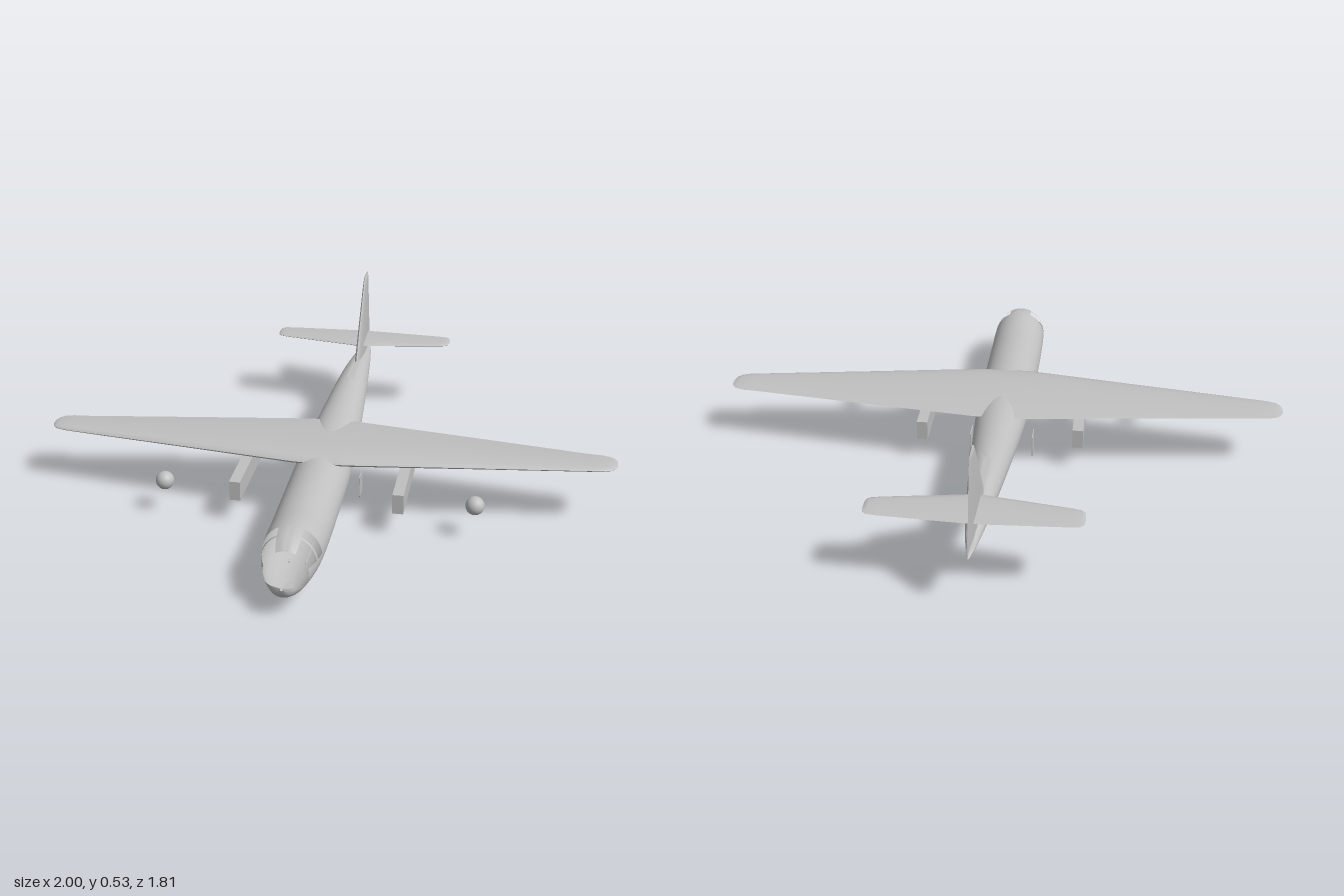
import * as THREE from 'three';
import { mergeGeometries, toCreasedNormals } from 'three/addons/utils/BufferGeometryUtils.js';

const grey = new THREE.MeshStandardMaterial({ color: 0xc0c0c0, side: THREE.DoubleSide });
grey.name = 'light grey';

// Hull stations: z, half width, top y, bottom y
const HULL = [
  [0.905, 0.004, 0.115, 0.106], [0.895, 0.03, 0.126, 0.08], [0.88, 0.045, 0.146, 0.069],
  [0.85, 0.066, 0.19, 0.058], [0.8, 0.084, 0.224, 0.052], [0.735, 0.095, 0.237, 0.049],
  [0.6, 0.098, 0.227, 0.05], [0.4, 0.098, 0.229, 0.055], [0.2, 0.097, 0.232, 0.066],
  [0, 0.09, 0.236, 0.085], [-0.2, 0.077, 0.243, 0.107], [-0.4, 0.062, 0.25, 0.132],
  [-0.55, 0.049, 0.249, 0.15], [-0.7, 0.034, 0.232, 0.169], [-0.82, 0.017, 0.212, 0.187],
  [-0.885, 0.003, 0.2, 0.195],
];

// Smooth hull section at z
function section(z) {
  let i = 0;
  while (i < HULL.length - 2 && z < HULL[i + 1][0]) i++;
  const a = HULL[i], b = HULL[i + 1], dz = b[0] - a[0];
  const t = THREE.MathUtils.clamp((z - a[0]) / dz, 0, 1);
  const slope = (k, c) => {
    const p = HULL[Math.max(k - 1, 0)], n = HULL[Math.min(k + 1, HULL.length - 1)];
    return (n[c] - p[c]) / (n[0] - p[0]);
  };
  const [w, top, bottom] = [1, 2, 3].map((c) =>
    a[c] * (1 + 2 * t) * (1 - t) ** 2 + b[c] * t * t * (3 - 2 * t)
    + dz * (slope(i, c) * t * (1 - t) ** 2 - slope(i + 1, c) * t * t * (1 - t)));
  return { w, cy: (top + bottom) / 2, h: (top - bottom) / 2 };
}

// Surface through a list of equal-length point rows
function skin(rows) {
  const n = rows[0].length, index = [];
  for (let i = 0; i < rows.length - 1; i++) {
    for (let j = 0; j < n - 1; j++) {
      const a = i * n + j, b = a + n;
      index.push(a, b, b + 1, a, b + 1, a + 1);
    }
  }
  const g = new THREE.BufferGeometry();
  g.setAttribute('position', new THREE.Float32BufferAttribute(rows.flat(2), 3));
  g.setIndex(index);
  return g;
}

// Hull patch from z0 back to z1, between two angles measured from the keel
function hullPatch(z0, z1, steps, sides, from, to) {
  const rows = [];
  for (let i = 0; i <= steps; i++) {
    const z = THREE.MathUtils.lerp(z0, z1, i / steps), s = section(z), row = [];
    const a0 = from(z, s), a1 = to(z, s);
    for (let j = 0; j <= sides; j++) {
      const a = THREE.MathUtils.lerp(a0, a1, j / sides);
      row.push([s.w * Math.sin(a), s.cy - s.h * Math.cos(a), z]);
    }
    rows.push(row);
  }
  return skin(rows);
}

// Keel angle at which the hull reaches height y
const angleAt = (y, s) => Math.acos(THREE.MathUtils.clamp((s.cy - y) / s.h, -1, 1));

// Aerofoil loft; stations: span, leading z, trailing z, thickness, offset
function aerofoil(stations, place) {
  const N = 12, rows = stations.map(([span, le, te, thick, off]) => {
    const row = [];
    for (let j = 0; j <= 2 * N; j++) {
      const u = (1 - Math.cos((j / N) * Math.PI)) / 2;
      const side = j <= N ? 1 : -1;
      const v = side * thick * 1.3 * (Math.sqrt(u) * (1 - u));
      row.push(place(span, off + v, THREE.MathUtils.lerp(le, te, u)));
    }
    return row;
  });
  return toCreasedNormals(skin(rows), 0.7);
}

// Mirror half-span stations into a full span
const fullSpan = (half) => [
  ...half.filter((s) => s[0] > 0).reverse().map(([x, ...rest]) => [-x, ...rest]), ...half];

export function createModel() {
  const model = new THREE.Group();
  model.name = 'aeroplane';
  const add = (name, geometry, x = 0, y = 0, z = 0) => {
    const mesh = new THREE.Mesh(geometry, grey);
    mesh.name = name;
    mesh.position.set(x, y, z);
    model.add(mesh);
    return mesh;
  };

  // Fuselage with an open glazed nose: body, nose tub, sills, roof strip, side posts
  const sill = (z, s) => angleAt(0.15, s);
  const lip = (z, s) => angleAt(THREE.MathUtils.mapLinear(z, 0.835, 0.905, 0.1, 0.116), s);
  const post = (sign, z) => hullPatch(z + 0.004, z - 0.004, 1, 8,
    (q, s) => (sign > 0 ? sill(q, s) : -Math.PI + 0.4), (q, s) => (sign > 0 ? Math.PI - 0.4 : -sill(q, s)));
  const hull = mergeGeometries([
    hullPatch(0.735, -0.885, 60, 40, () => -Math.PI, () => Math.PI),
    hullPatch(0.905, 0.835, 14, 30, (z, s) => -lip(z, s), lip),
    hullPatch(0.835, 0.735, 10, 30, (z, s) => -sill(z, s), sill),
    hullPatch(0.835, 0.735, 10, 10, () => Math.PI - 0.45, () => Math.PI + 0.45),
    post(1, 0.78), post(-1, 0.78),
  ]);
  add('fuselage', toCreasedNormals(hull, 0.7));

  // Wing
  add('wing', aerofoil(fullSpan([
    [0, 0.275, -0.075, 0.044, 0.218], [0.09, 0.273, -0.072, 0.044, 0.218],
    [0.5, 0.217, -0.02, 0.031, 0.215], [0.9, 0.163, 0.032, 0.02, 0.212],
    [0.95, 0.156, 0.036, 0.017, 0.212], [0.98, 0.146, 0.046, 0.012, 0.212],
    [0.994, 0.13, 0.062, 0.007, 0.212], [1, 0.11, 0.08, 0.001, 0.212],
  ]), (x, y, z) => [x, y, z]));

  // Tailplane
  add('tailplane', aerofoil(fullSpan([
    [0, -0.648, -0.812, 0.016, 0.275], [0.06, -0.658, -0.81, 0.015, 0.275],
    [0.3, -0.696, -0.798, 0.011, 0.275], [0.33, -0.703, -0.794, 0.009, 0.275],
    [0.341, -0.713, -0.784, 0.006, 0.275], [0.345, -0.73, -0.77, 0.001, 0.275],
  ]), (x, y, z) => [x, y, z]));

  // Fin
  add('fin', aerofoil([
    [0.222, -0.52, -0.902, 0.026, 0], [0.25, -0.543, -0.897, 0.026, 0],
    [0.38, -0.639, -0.872, 0.019, 0], [0.485, -0.715, -0.849, 0.013, 0],
    [0.508, -0.734, -0.842, 0.011, 0], [0.521, -0.755, -0.838, 0.008, 0],
    [0.526, -0.78, -0.834, 0.001, 0],
  ], (y, v, z) => [-v, y, z]));

  for (const side of [1, -1]) {
    const label = side > 0 ? 'left' : 'right';
    // Underwing box and round pod ahead of the wing
    add(`${label}EngineBox`, new THREE.BoxGeometry(0.038, 0.07, 0.365), side * 0.28, 0.12, 0.155);
    add(`${label}Pod`, new THREE.SphereGeometry(0.032, 24, 16), side * 0.535, 0.122, 0.303);

    // Main gear door, lower corners clipped
    const door = new THREE.Shape([[-0.032, 0.08], [-0.032, 0.008], [-0.024, 0], [0.024, 0],
      [0.032, 0.008], [0.032, 0.08]].map(([x, y]) => new THREE.Vector2(x, y)));
    const plate = new THREE.ExtrudeGeometry(door, { depth: 0.003, bevelEnabled: false });
    plate.translate(0, 0, -0.0015).rotateY(Math.PI / 2);
    add(`${label}MainGearDoor`, plate, side * 0.113, 0, 0.063);

    // Nose gear door, splayed outward
    add(`${label}NoseGearDoor`, new THREE.BoxGeometry(0.002, 0.034, 0.14), side * 0.031, 0.046, 0.588)
      .rotation.z = side * 0.35;
  }
  return model;
}
